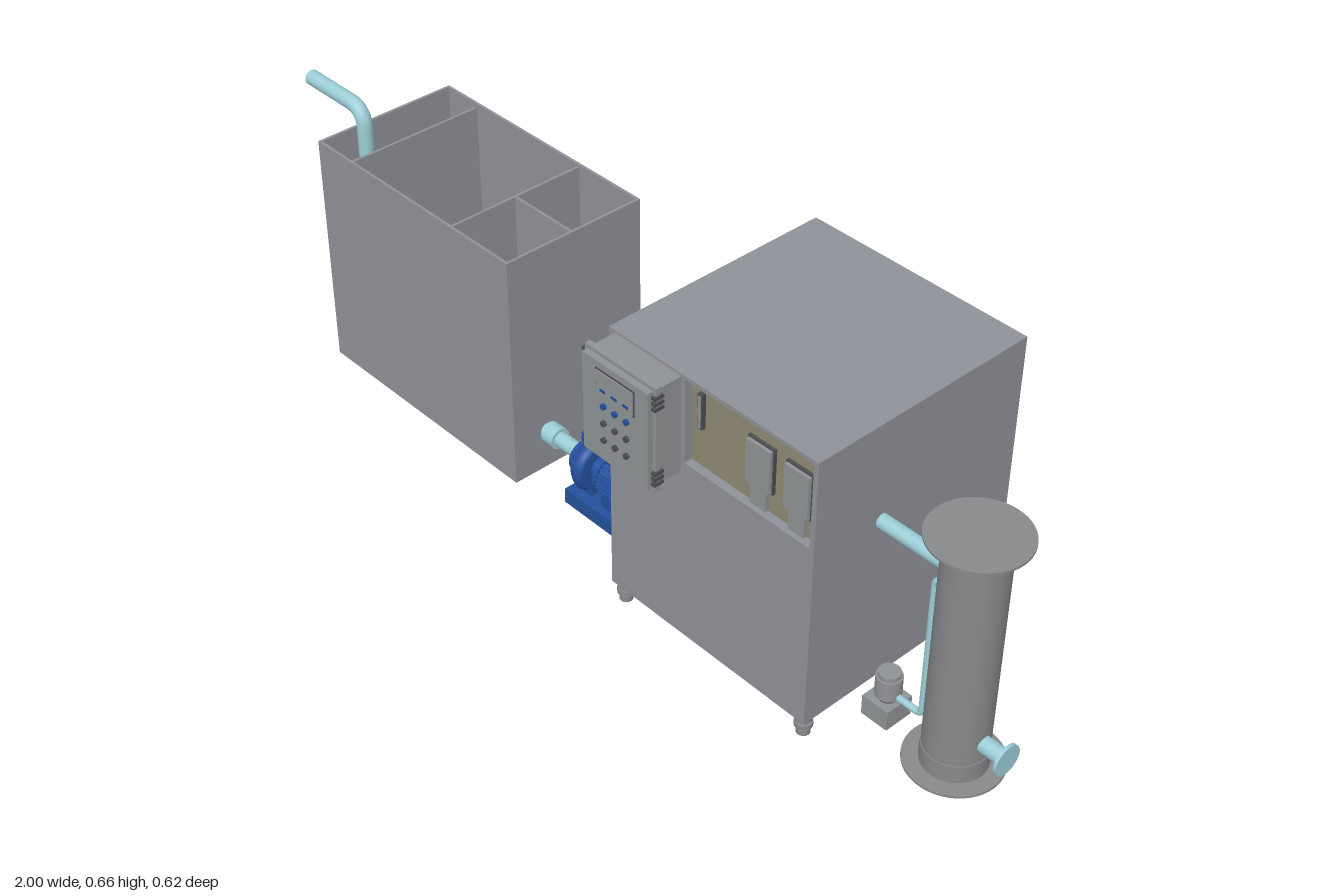
import * as THREE from 'three';

const mat = (name, color, side = THREE.FrontSide) => {
  const m = new THREE.MeshStandardMaterial({ color, side });
  m.name = name;
  return m;
};

export function createModel() {
  const steel = mat('steel', 0x8f9299);
  const boxGrey = mat('controlBoxGrey', 0x909395);
  const columnGrey = mat('columnGrey', 0x87898b);
  const dark = mat('darkTrim', 0x4c4e52);
  const blue = mat('pumpBlue', 0x24509c);
  const aqua = mat('pipeAqua', 0x9ccdd6, THREE.DoubleSide);
  const ochre = mat('panelOchre', 0x8f8a72);

  const root = new THREE.Group();
  root.name = 'waterTreatmentUnit';
  const group = (name) => {
    const g = new THREE.Group();
    g.name = name;
    root.add(g);
    return g;
  };
  const add = (parent, name, geo, m, x = 0, y = 0, z = 0) => {
    const mesh = new THREE.Mesh(geo, m);
    mesh.name = name;
    mesh.position.set(x, y, z);
    parent.add(mesh);
    return mesh;
  };
  // box given by its minimum and maximum on each axis
  const box = (p, name, m, x0, x1, y0, y1, z0, z1) =>
    add(p, name, new THREE.BoxGeometry(x1 - x0, y1 - y0, z1 - z0), m, (x0 + x1) / 2, (y0 + y1) / 2, (z0 + z1) / 2);
  // cylinder centred at x, y, z along an axis
  const cyl = (p, name, m, axis, r, len, x, y, z, seg = 28) => {
    const g = new THREE.CylinderGeometry(r, r, len, seg);
    if (axis === 'x') g.rotateZ(-Math.PI / 2);
    if (axis === 'z') g.rotateX(Math.PI / 2);
    return add(p, name, g, m, x, y, z);
  };
  // pipe through points with rounded corners and closed ends
  const pipe = (p, name, m, r, bend, pts) => {
    const v = pts.map((a) => new THREE.Vector3(...a));
    const path = new THREE.CurvePath();
    let from = v[0];
    for (let i = 1; i < v.length - 1; i++) {
      const a = v[i].clone().add(v[i - 1].clone().sub(v[i]).setLength(bend));
      const b = v[i].clone().add(v[i + 1].clone().sub(v[i]).setLength(bend));
      path.add(new THREE.LineCurve3(from, a));
      path.add(new THREE.QuadraticBezierCurve3(a, v[i], b));
      from = b;
    }
    path.add(new THREE.LineCurve3(from, v[v.length - 1]));
    add(p, name, new THREE.TubeGeometry(path, 90, r, 18), m);
    [[v[0], v[1]], [v[v.length - 1], v[v.length - 2]]].forEach(([end, next]) => {
      const cap = add(p, name + 'Cap', new THREE.CircleGeometry(r, 18), m, end.x, end.y, end.z);
      cap.lookAt(end.clone().multiplyScalar(2).sub(next));
    });
  };

  const Z = 0.055; // common pipe line

  // Open tank with partitions
  const tank = group('tank');
  const t = 0.006;
  box(tank, 'tankFloor', steel, -0.865, -0.247, 0.003, 0.012, -0.205, 0.142);
  box(tank, 'tankFront', steel, -0.865, -0.247, 0.003, 0.55, 0.142 - t, 0.142);
  box(tank, 'tankBack', steel, -0.865, -0.247, 0.003, 0.55, -0.205, -0.205 + t);
  box(tank, 'tankEndLeft', steel, -0.865, -0.865 + t, 0.003, 0.55, -0.205, 0.142);
  box(tank, 'tankEndRight', steel, -0.247 - t, -0.247, 0.003, 0.55, -0.205, 0.142);
  box(tank, 'partition', steel, -0.768, -0.762, 0.012, 0.54, -0.2, 0.137);
  box(tank, 'partition', steel, -0.433, -0.427, 0.012, 0.545, -0.2, 0.137);
  box(tank, 'crossPartition', steel, -0.43, -0.25, 0.012, 0.545, -0.034, -0.028);
  box(tank, 'hatchGasket', dark, -0.749, -0.446, 0.012, 0.016, -0.184, 0.119);
  box(tank, 'hatchPlate', steel, -0.745, -0.45, 0.012, 0.021, -0.18, 0.115);
  for (const i of [-1, 0, 1])
    for (const j of [-1, 0, 1])
      if (i || j) cyl(tank, 'hatchBolt', dark, 'y', 0.007, 0.008, -0.5975 + i * 0.133, 0.024, -0.0325 + j * 0.133, 8);

  // Tank pipework
  const pipes = group('pipework');
  pipe(pipes, 'inletPipe', aqua, 0.017, 0.045, [[-1, 0.613, Z], [-0.817, 0.613, Z], [-0.817, 0.5, Z]]);
  pipe(pipes, 'suctionPipe', aqua, 0.017, 0.03, [[-0.25, 0.098, Z], [-0.13, 0.098, Z]]);
  cyl(pipes, 'suctionUnion', aqua, 'x', 0.024, 0.034, -0.222, 0.098, Z);
  pipe(pipes, 'drainPipe', aqua, 0.017, 0.035, [[-0.338, 0.095, -0.2], [-0.338, 0.095, -0.293], [-0.24, 0.095, -0.293]]);
  cyl(pipes, 'drainUnion', aqua, 'z', 0.024, 0.032, -0.338, 0.095, -0.226);
  cyl(pipes, 'drainUnion', aqua, 'x', 0.0185, 0.024, -0.254, 0.095, -0.293);
  pipe(pipes, 'deliveryPipe', aqua, 0.017, 0.042, [
    [-0.098, 0.16, Z], [-0.098, 0.388, Z], [0.046, 0.388, Z], [0.046, 0.098, Z], [0.15, 0.098, Z]]);
  pipe(pipes, 'transferPipe', aqua, 0.015, 0.03, [[0.66, 0.432, Z], [0.84, 0.432, Z]]);
  pipe(pipes, 'outletPipe', aqua, 0.017, 0.03, [[0.92, 0.095, 0.06], [0.994, 0.095, 0.06]]);
  cyl(pipes, 'outletFlange', aqua, 'x', 0.032, 0.007, 0.9965, 0.095, 0.06);

  // Centrifugal pump with motor
  const pump = group('pump');
  box(pump, 'pumpBase', blue, -0.135, 0.012, 0.001, 0.036, 0.005, 0.105);
  cyl(pump, 'pumpFlange', blue, 'x', 0.036, 0.01, -0.132, 0.098, Z);
  cyl(pump, 'pumpNeck', blue, 'x', 0.024, 0.03, -0.12, 0.098, Z);
  cyl(pump, 'volute', blue, 'x', 0.052, 0.034, -0.096, 0.098, Z);
  add(pump, 'voluteRim', new THREE.TorusGeometry(0.041, 0.018, 12, 32), blue, -0.096, 0.098, Z).rotation.y = Math.PI / 2;
  cyl(pump, 'dischargeNeck', blue, 'y', 0.019, 0.05, -0.098, 0.145, Z);
  cyl(pump, 'dischargeFlange', blue, 'y', 0.026, 0.008, -0.098, 0.17, Z);
  cyl(pump, 'coupling', blue, 'x', 0.028, 0.04, -0.062, 0.098, Z);
  cyl(pump, 'motor', blue, 'x', 0.038, 0.06, -0.024, 0.098, Z);
  for (const x of [-0.052, 0.006]) cyl(pump, 'motorEnd', blue, 'x', 0.045, 0.007, x, 0.098, Z);
  for (let i = 0; i < 12; i++) {
    const fin = box(pump, 'motorFin', blue, -0.05, 0.004, -0.0435, 0.0435, -0.002, 0.002);
    fin.position.set(-0.023, 0.098, Z);
    fin.rotation.x = (i * Math.PI) / 12;
  }
  box(pump, 'voluteFoot', blue, -0.112, -0.08, 0.03, 0.065, 0.03, 0.08);
  box(pump, 'motorFoot', blue, -0.045, 0, 0.03, 0.07, 0.025, 0.085);

  // Main cabinet with recessed front panel
  const cabinet = group('cabinet');
  box(cabinet, 'cabinetBody', steel, 0.146, 0.667, 0.045, 0.653, -0.301, 0.203);
  const face = new THREE.Shape([[0.146, 0.045], [0.667, 0.045], [0.667, 0.653], [0.146, 0.653]].map((p) => new THREE.Vector2(...p)));
  face.holes.push(new THREE.Path([[0.345, 0.46], [0.345, 0.645], [0.656, 0.645], [0.656, 0.46]].map((p) => new THREE.Vector2(...p))));
  add(cabinet, 'cabinetFront', new THREE.ExtrudeGeometry(face, { depth: 0.022, bevelEnabled: false }), steel, 0, 0, 0.203);
  box(cabinet, 'instrumentPanel', ochre, 0.345, 0.656, 0.46, 0.645, 0.203, 0.207);
  box(cabinet, 'levelTube', dark, 0.367, 0.379, 0.548, 0.624, 0.207, 0.216);
  box(cabinet, 'levelTubeFace', boxGrey, 0.37, 0.376, 0.552, 0.62, 0.216, 0.218);
  for (const x of [0.522, 0.614]) {
    box(cabinet, 'meterRim', dark, x - 0.032, x + 0.032, 0.507, 0.605, 0.207, 0.214);
    box(cabinet, 'meter', boxGrey, x - 0.029, x + 0.029, 0.51, 0.602, 0.207, 0.221);
    box(cabinet, 'meterBase', boxGrey, x - 0.019, x + 0.019, 0.463, 0.51, 0.207, 0.217);
  }
  for (const y of [0.14, 0.56])
    for (const z of [-0.285, 0.205]) cyl(cabinet, 'sideHinge', dark, 'y', 0.005, 0.03, 0.143, y, z, 10);

  // Levelling feet
  for (const x of [0.164, 0.647])
    for (const z of [-0.281, 0.204]) {
      cyl(cabinet, 'footCollar', columnGrey, 'y', 0.017, 0.012, x, 0.039, z, 16);
      cyl(cabinet, 'footStem', dark, 'y', 0.011, 0.036, x, 0.025, z, 12);
      cyl(cabinet, 'footRing', columnGrey, 'y', 0.018, 0.01, x, 0.023, z, 16);
      cyl(cabinet, 'footPad', columnGrey, 'y', 0.014, 0.012, x, 0.006, z, 16);
    }

  // Control box
  const control = group('controlBox');
  box(control, 'controlHousing', boxGrey, 0.163, 0.336, 0.436, 0.648, 0.222, 0.281);
  box(control, 'doorFlange', boxGrey, 0.157, 0.342, 0.427, 0.656, 0.279, 0.291);
  box(control, 'door', boxGrey, 0.164, 0.335, 0.434, 0.648, 0.291, 0.304);
  box(control, 'displayFrame', dark, 0.2, 0.302, 0.578, 0.634, 0.304, 0.3055);
  box(control, 'display', boxGrey, 0.203, 0.299, 0.581, 0.631, 0.304, 0.308);
  for (const x of [0.222, 0.252, 0.282]) {
    box(control, 'displayMark', blue, x - 0.007, x + 0.007, 0.59, 0.596, 0.308, 0.309);
    for (const y of [0.558, 0.52, 0.482])
      cyl(control, 'button', y > 0.54 ? blue : dark, 'z', 0.006, 0.006, x, y, 0.307, 14);
  }
  for (const y of [0.458, 0.625]) {
    cyl(control, 'hinge', dark, 'y', 0.007, 0.034, 0.153, y, 0.286, 12);
    for (const d of [-0.012, 0, 0.012]) box(control, 'clamp', dark, 0.336, 0.346, y + d - 0.003, y + d + 0.003, 0.275, 0.297);
  }

  // Treatment column
  const column = group('column');
  const cx = 0.884, cz = 0.06;
  cyl(column, 'columnBody', columnGrey, 'y', 0.0625, 0.526, cx, 0.276, cz, 48);
  cyl(column, 'lowerSleeve', columnGrey, 'y', 0.0645, 0.042, cx, 0.034, cz, 48);
  cyl(column, 'upperSleeve', columnGrey, 'y', 0.0645, 0.034, cx, 0.523, cz, 48);
  for (const y of [0.0125, 0.54]) cyl(column, 'columnFlange', columnGrey, 'y', 0.096, 0.005, cx, y, cz, 48);

  // Dosing pump and its feed line
  const dosing = group('dosingPump');
  box(dosing, 'dosingBase', boxGrey, 0.687, 0.75, 0.001, 0.046, 0.027, 0.093);
  cyl(dosing, 'dosingNeck', dark, 'y', 0.02, 0.01, 0.72, 0.05, 0.06, 20);
  cyl(dosing, 'dosingMotor', boxGrey, 'y', 0.026, 0.045, 0.72, 0.077, 0.06, 24);
  cyl(dosing, 'dosingCap', boxGrey, 'y', 0.022, 0.01, 0.72, 0.104, 0.06, 24);
  pipe(dosing, 'dosingLine', aqua, 0.007, 0.015, [
    [0.735, 0.06, 0.06], [0.802, 0.06, 0.06], [0.802, 0.39, 0.06], [0.835, 0.39, 0.06]]);

  return root;
}
